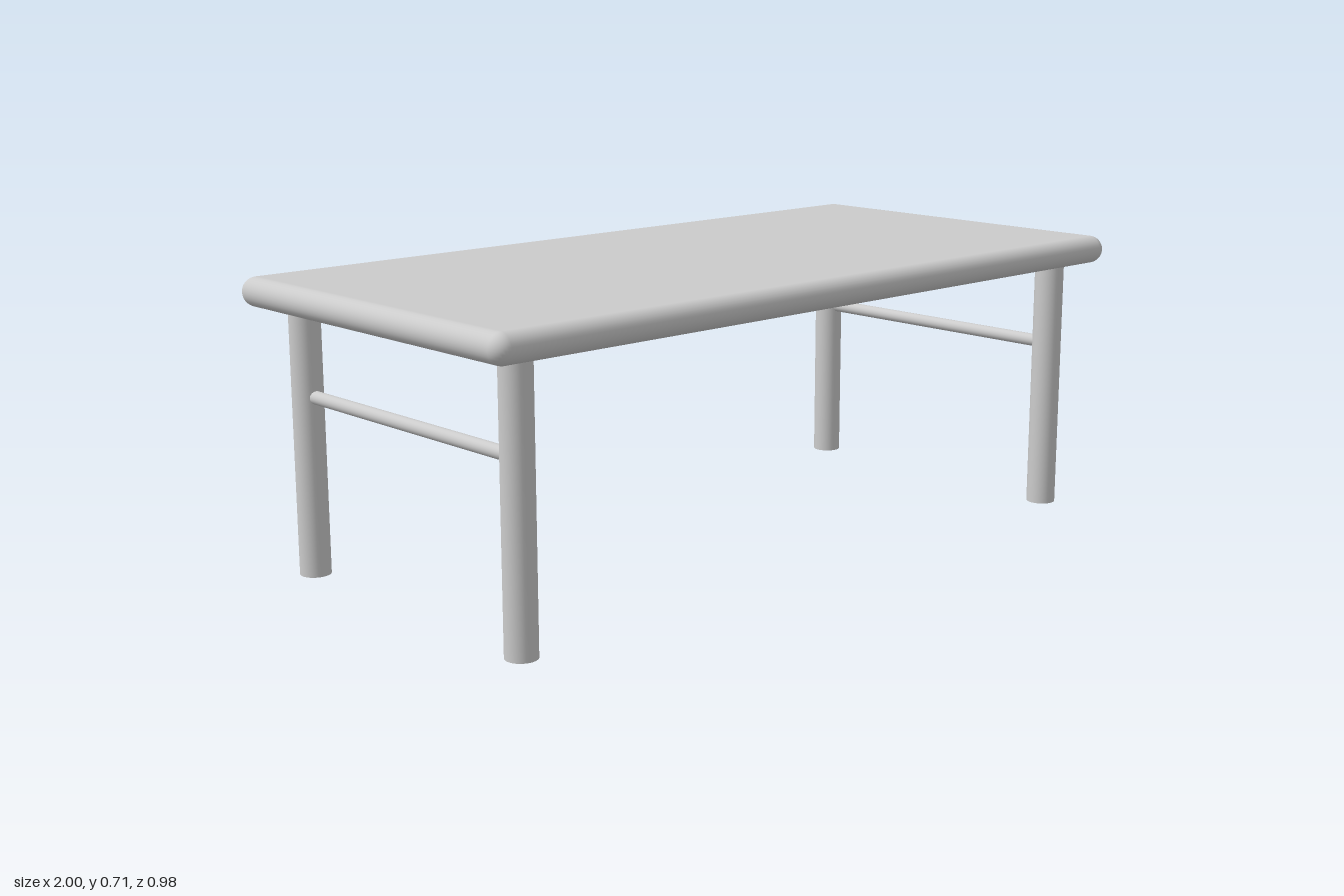
import * as THREE from 'three';

const material = new THREE.MeshStandardMaterial({ color: 0xcccccc });

function add(group, name, geometry, x, y, z) {
  const mesh = new THREE.Mesh(geometry, material);
  mesh.name = name;
  mesh.position.set(x, y, z);
  group.add(mesh);
  return mesh;
}

export function createModel() {
  const table = new THREE.Group();
  table.name = 'table';

  const rimR = 0.035, rimY = 0.678, rimX = 1 - rimR, rimZ = 0.49 - rimR;
  const panelBottom = 0.668, panelTop = rimY + rimR;
  const legR = 0.037, legX = 0.883, legZ = 0.393;

  // Flat panel, flush with the top of the rounded rim and recessed below
  add(table, 'topPanel', new THREE.BoxGeometry(2 * rimX, panelTop - panelBottom, 2 * rimZ),
    0, (panelTop + panelBottom) / 2, 0);

  for (const s of [-1, 1]) {
    // Rounded rim bars
    const long = new THREE.CylinderGeometry(rimR, rimR, 2 * rimX, 32, 1, true);
    add(table, s > 0 ? 'frontRim' : 'backRim', long.rotateZ(Math.PI / 2), 0, rimY, s * rimZ);
    const short = new THREE.CylinderGeometry(rimR, rimR, 2 * rimZ, 32, 1, true);
    add(table, s > 0 ? 'leftRim' : 'rightRim', short.rotateX(Math.PI / 2), s * rimX, rimY, 0);

    // Stretcher joining the two legs at each end
    const bar = new THREE.CylinderGeometry(0.016, 0.016, 0.72, 24);
    add(table, s > 0 ? 'leftStretcher' : 'rightStretcher', bar.rotateX(Math.PI / 2), s * legX, 0.432, 0);

    for (const t of [-1, 1]) {
      const corner = (t > 0 ? 'front' : 'back') + (s > 0 ? 'Left' : 'Right');
      add(table, corner + 'RimCorner', new THREE.SphereGeometry(rimR, 32, 16), s * rimX, rimY, t * rimZ);
      // Round leg, running up to the underside of the panel
      add(table, corner + 'Leg', new THREE.CylinderGeometry(legR, legR, panelBottom, 32),
        s * legX, panelBottom / 2, t * legZ);
    }
  }
  return table;
}
